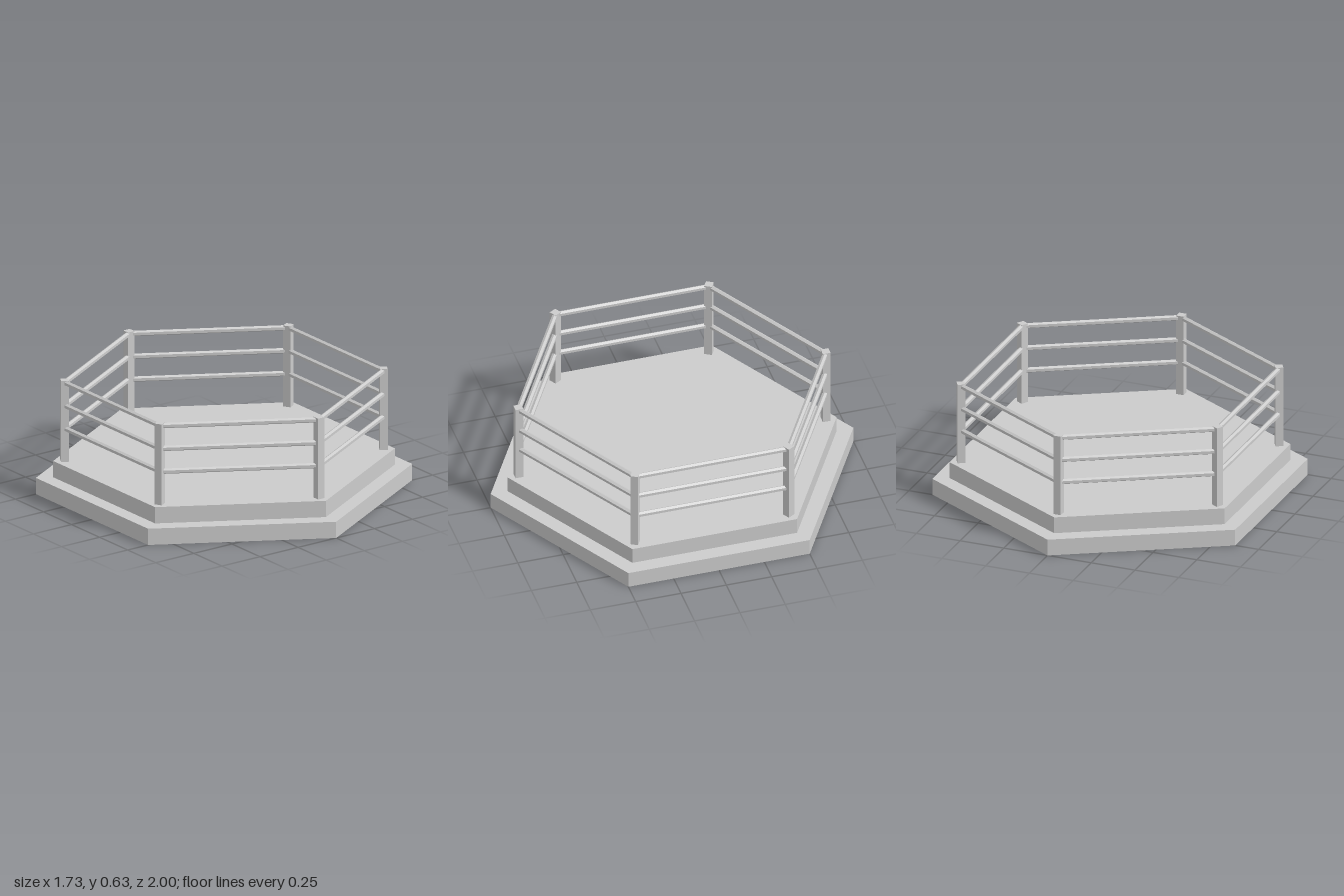
import * as THREE from 'three';

const SIDES = 6;
const STEP = (Math.PI * 2) / SIDES;
const DECK_Y = 0.182;
const POST = { radius: 0.847, width: 0.042, top: 0.635 };
const RAIL = { radius: 0.0148, heights: [0.363, 0.491, 0.619] };

export function createModel() {
  const model = new THREE.Group();
  model.name = 'hexagonalRing';
  const material = new THREE.MeshStandardMaterial({ color: 0xcccccc, flatShading: true });
  const shellMaterial = new THREE.MeshStandardMaterial({
    color: 0xcccccc, flatShading: true, side: THREE.DoubleSide,
  });

  const add = (parent, name, geometry, mat = material) => {
    const mesh = new THREE.Mesh(geometry, mat);
    mesh.name = name;
    parent.add(mesh);
    return mesh;
  };

  // Stepped hexagonal platform: a thin shell, hollow underneath
  const profile = [[1, 0], [1, 0.091], [0.908, 0.091], [0.908, DECK_Y], [0, DECK_Y]]
    .map(([r, y]) => new THREE.Vector2(r, y));
  add(model, 'platform', new THREE.LatheGeometry(profile, SIDES), shellMaterial);

  // Square corner posts and hexagonal rails
  const postHeight = POST.top - DECK_Y;
  const postGeometry = new THREE.BoxGeometry(POST.width, postHeight, POST.width);
  // A regular hexagon's side is as long as its corner radius
  const railGeometry = new THREE.CylinderGeometry(RAIL.radius, RAIL.radius, POST.radius, 6)
    .rotateY(Math.PI / 2)
    .rotateZ(Math.PI / 2);
  const apothem = POST.radius * Math.cos(STEP / 2);

  for (let i = 0; i < SIDES; i++) {
    const corner = new THREE.Group();
    corner.name = 'corner';
    corner.rotation.y = i * STEP;
    add(corner, 'post', postGeometry).position.set(0, DECK_Y + postHeight / 2, POST.radius);
    model.add(corner);

    const railing = new THREE.Group();
    railing.name = 'railing';
    railing.rotation.y = (i + 0.5) * STEP;
    for (const y of RAIL.heights) add(railing, 'rail', railGeometry).position.set(0, y, apothem);
    model.add(railing);
  }
  return model;
}
